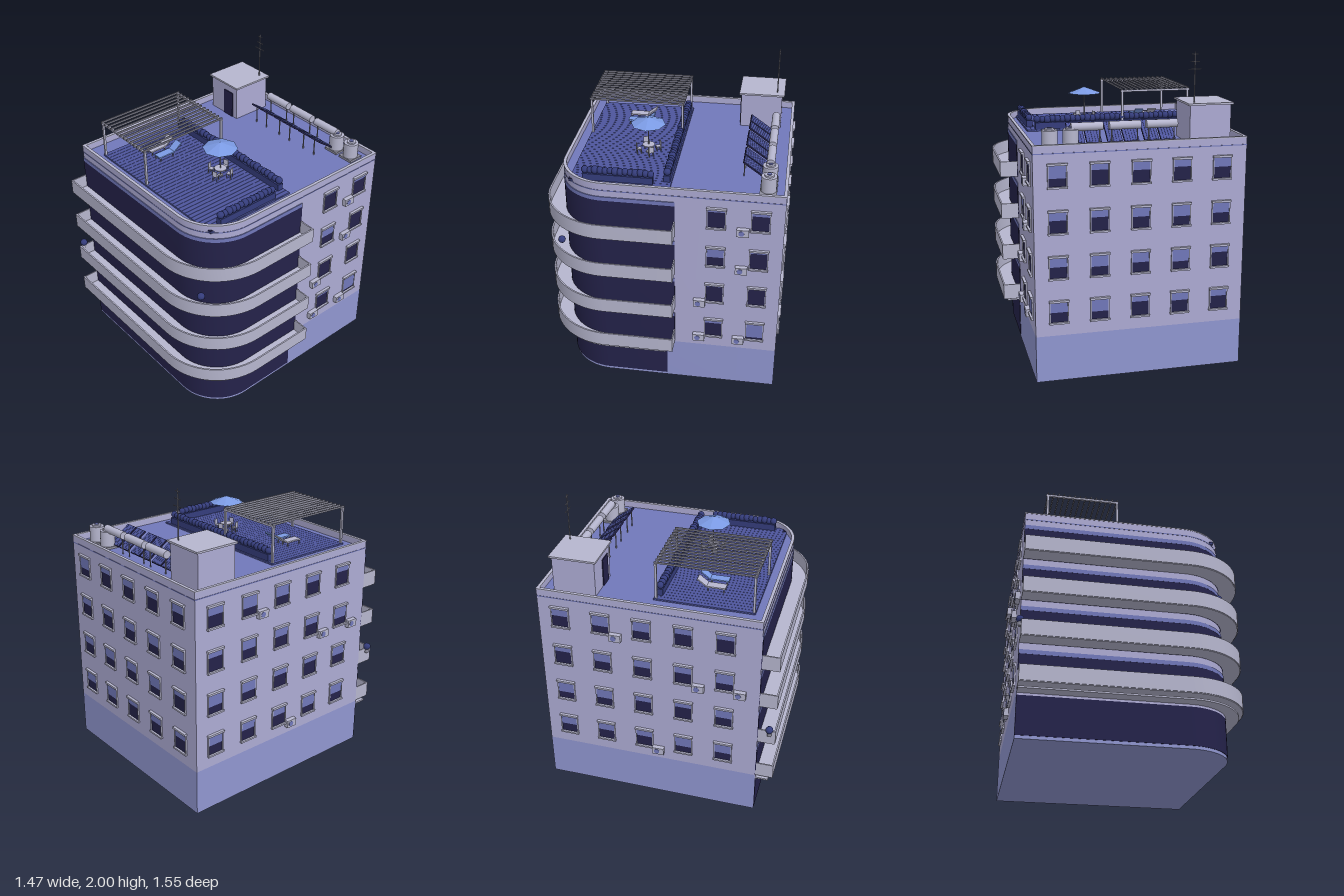
import * as THREE from 'three';
import { toCreasedNormals } from 'three/addons/utils/BufferGeometryUtils.js';

const mat = (name, color) => {
  const m = new THREE.MeshStandardMaterial({ color });
  m.name = name;
  return m;
};

// Plan of the building: three square corners and one rounded front corner
const L = -0.71, R = 0.615, B = -0.76, F = 0.66, RAD = 0.3;

function frontLine(o, zEnd) {
  const pts = [[L, F + o]];
  for (let i = 0; i <= 14; i++) {
    const a = (Math.PI / 2) * (1 - i / 14);
    pts.push([R - RAD + Math.cos(a) * (RAD + o), F - RAD + Math.sin(a) * (RAD + o)]);
  }
  pts.push([R + o, zEnd]);
  return pts;
}
const toShape = pts => new THREE.Shape(pts.map(([x, z]) => new THREE.Vector2(x, -z)));

function fullPlan(o) {
  const pts = frontLine(o, B - o);
  pts[0][0] = L - o;
  pts.push([L - o, B - o]);
  return toShape(pts);
}
function fullRing(outer, inner) {
  const s = fullPlan(outer);
  s.holes.push(fullPlan(inner));
  return s;
}
const frontBand = (outer, inner, zEnd) =>
  toShape([...frontLine(outer, zEnd), ...frontLine(inner, zEnd).reverse()]);

export function createModel() {
  const wall = mat('lavender wall', 0xadabd4), trim = mat('pale trim', 0xb6b6ce);
  const base = mat('plinth blue', 0x9096d0), glass = mat('dark glass', 0x24224a);
  const blue = mat('roof blue', 0x7178ba), decking = mat('deck blue', 0x4d559c);
  const sky = mat('light blue fabric', 0x7b9ae4), plant = mat('plant navy', 0x353d7c);
  const metal = mat('grey metal', 0x8c8c9c);

  const model = new THREE.Group();
  model.name = 'apartmentBuilding';
  const add = (name, geo, m, parent = model, x = 0, y = 0, z = 0) => {
    const mesh = new THREE.Mesh(geo, m);
    mesh.name = name;
    mesh.position.set(x, y, z);
    parent.add(mesh);
    return mesh;
  };
  const group = (name, x = 0, y = 0, z = 0, parent = model) => {
    const g = new THREE.Group();
    g.name = name;
    g.position.set(x, y, z);
    parent.add(g);
    return g;
  };
  const box = (name, m, x0, x1, y0, y1, z0, z1, parent = model) =>
    add(name, new THREE.BoxGeometry(x1 - x0, y1 - y0, z1 - z0), m, parent,
      (x0 + x1) / 2, (y0 + y1) / 2, (z0 + z1) / 2);
  const cyl = (name, m, r, y0, y1, x, z, parent = model, sides = 16) =>
    add(name, new THREE.CylinderGeometry(r, r, y1 - y0, sides), m, parent, x, (y0 + y1) / 2, z);
  const slab = (name, shape, m, y0, y1) => {
    const g = new THREE.ExtrudeGeometry(shape, { depth: y1 - y0, bevelEnabled: false });
    g.rotateX(-Math.PI / 2);
    g.translate(0, y0, 0);
    return add(name, toCreasedNormals(g, 0.5), m);
  };

  // Main body, roof surface and parapet
  slab('groundFloor', fullPlan(0), base, 0, 0.3);
  slab('upperFloors', fullPlan(0), wall, 0.3, 1.44);
  slab('roofSurface', fullPlan(-0.012), blue, 1.44, 1.445);
  slab('parapet', fullRing(0, -0.016), wall, 1.44, 1.485);
  slab('coping', fullRing(0.002, -0.018), trim, 1.485, 1.492);
  slab('roofLine', fullRing(0.002, -0.002), blue, 1.437, 1.443);

  // Shop front and canopy
  slab('shopGlass', frontBand(0.003, -0.002, -0.04), glass, 0.02, 0.26);
  slab('shopFascia', frontBand(0.003, -0.002, -0.04), wall, 0.26, 0.302);
  slab('canopy', frontBand(0.085, -0.002, -0.04), trim, 0.274, 0.285);

  // Strip windows and wraparound balconies
  const step = 0.284;
  for (let f = 0; f < 4; f++) {
    const y = 0.305 + f * step;
    slab('stripGlass', frontBand(0.004, -0.002, -0.09), glass, y, y + 0.213);
    slab('stripHeader', frontBand(0.005, -0.002, -0.09), blue, y + 0.213, y + 0.24);
    slab('balconyFloor', frontBand(0.11, -0.002, -0.09), trim, y, y + 0.014);
    slab('balconyWall', frontBand(0.115, 0.105, -0.09), trim, y + 0.004, y + 0.103);
    box('balconyEnd', trim, L, L + 0.008, y, y + 0.102, F, F + 0.112);
    box('balconyEnd', trim, R, R + 0.112, y, y + 0.102, -0.09, -0.082);
  }

  // Punched windows with part-lowered shutters, and air conditioners
  function windowUnit(face, u, f, drop) {
    const g = group('window', u, 0.385 + f * step, 0, face);
    box('pane', glass, -0.055, 0.055, 0, 0.135, -0.002, 0.003, g);
    box('shutter', blue, -0.053, 0.053, 0.135 * (1 - drop), 0.135, 0.002, 0.007, g);
    box('lintel', trim, -0.062, 0.062, 0.132, 0.145, 0, 0.018, g);
    box('sill', trim, -0.062, 0.062, -0.008, 0.003, 0, 0.016, g);
    for (const s of [-1, 1]) box('jamb', trim, s * 0.056 - 0.003, s * 0.056 + 0.003, 0, 0.135, 0, 0.009, g);
  }
  function airConditioner(face, u, f) {
    const g = group('airConditioner', u, 0.375 + f * step, 0, face);
    box('casing', trim, -0.038, 0.038, -0.025, 0.025, 0, 0.03, g);
    const fan = cyl('fan', blue, 0.018, -0.002, 0.002, -0.008, 0, g);
    fan.rotation.x = Math.PI / 2;
    fan.position.set(-0.008, 0, 0.03);
  }
  const faceAt = (name, x, z, turn) => {
    const g = group(name, x, 0, z);
    g.rotation.y = turn;
    return g;
  };
  const right = faceAt('leftSideWindows', R, 0, Math.PI / 2);
  const left = faceAt('rightSideWindows', L, 0, -Math.PI / 2);
  const back = faceAt('backWindows', 0, B, Math.PI);
  const drops = [0.5, 0.35, 0.6, 0.45, 0.3, 0.55, 0.4];
  const rightDrops = [[0.2, 0.85], [0.1, 0.08], [0.5, 0.12], [0.14, 0.2]];
  for (let f = 0; f < 4; f++) {
    [-0.345, -0.615].forEach((z, i) => windowUnit(right, -z, f, rightDrops[f][i]));
    for (let i = 0; i < 5; i++) {
      windowUnit(left, -0.615 + i * 0.264, f, drops[(i * 3 + f * 2) % 7]);
      windowUnit(back, -0.47 + i * 0.256, f, drops[(i * 2 + f * 3) % 7]);
    }
  }
  for (const [z, f] of [[-0.51, 3], [-0.51, 2], [-0.25, 1], [-0.25, 0], [-0.51, 0]]) airConditioner(right, -z, f);
  for (const [z, f] of [[-0.255, 3], [0.275, 2], [0.54, 2], [0.01, 0]]) airConditioner(left, z, f);

  // Roof terrace planks
  const planks = 36, pw = 1.115 / planks;
  box('deckBase', decking, -0.575, 0.54, 1.445, 1.45, -0.05, 0.585);
  for (let i = 0; i < planks; i++) {
    const x = -0.575 + i * pw;
    box('deckPlank', decking, x + 0.001, x + pw - 0.001, 1.45, 1.456, -0.05, 0.585);
  }

  // Hedges in planters, and balcony plants
  const leafGeo = new THREE.IcosahedronGeometry(0.025, 1);
  const bush = (x, y, z, s = 1) => {
    const b = add('bush', leafGeo, plant, model, x, y, z);
    b.scale.setScalar(s);
    b.rotation.set(x * 40, z * 30, x * 17);
  };
  box('backPlanter', plant, -0.53, 0.485, 1.455, 1.5, -0.042, -0.002);
  box('sidePlanter', plant, 0.49, 0.53, 1.455, 1.5, 0.06, 0.5);
  for (let i = 0; i < 30; i++) bush(-0.51 + i * 0.0338, 1.518 + (i % 3) * 0.002, -0.022, 0.9 + (i % 4) * 0.05);
  for (let i = 0; i < 14; i++) bush(0.51, 1.518 + (i % 3) * 0.002, 0.075 + i * 0.0315, 0.9 + (i % 4) * 0.05);
  bush(-0.715, 0.705, 0.735);
  bush(0.53, 0.995, 0.66);
  cyl('plantPot', metal, 0.014, 0.66, 0.69, -0.715, 0.735);
  box('roofDrain', glass, 0.495, 0.535, 1.452, 1.46, 0.555, 0.585);

  // Pergola
  const pergola = group('pergola');
  for (const z of [-0.035, 0.575]) {
    for (const x of [-0.562, -0.105]) box('post', trim, x - 0.007, x + 0.007, 1.45, 1.69, z - 0.007, z + 0.007, pergola);
    box('beam', trim, -0.575, -0.095, 1.685, 1.698, z - 0.007, z + 0.007, pergola);
  }
  for (let i = 0; i < 14; i++) {
    const x = -0.562 + i * 0.0352;
    box('slat', metal, x - 0.004, x + 0.004, 1.697, 1.708, -0.045, 0.588, pergola);
  }

  // Parasol, table and chairs
  const set = group('parasolSet', 0.115, 1.456, 0.155);
  add('canopyCone', new THREE.ConeGeometry(0.113, 0.042, 8).toNonIndexed(), sky, set, 0, 0.226, 0)
    .geometry.computeVertexNormals();
  cyl('pole', metal, 0.004, 0, 0.24, 0, 0, set, 8);
  cyl('tableTop', trim, 0.04, 0.05, 0.056, 0, 0, set);
  cyl('tableFoot', metal, 0.018, 0, 0.006, 0, 0, set);
  for (let i = 0; i < 4; i++) {
    const c = group('chair', 0, 0, 0, set);
    c.rotation.y = i * Math.PI / 2 + 0.4;
    box('seat', trim, -0.016, 0.016, 0.03, 0.035, 0.05, 0.08, c);
    box('chairBack', trim, -0.016, 0.016, 0.035, 0.072, 0.077, 0.081, c);
    for (const x of [-0.014, 0.014]) for (const z of [0.052, 0.078])
      box('chairLeg', metal, x - 0.002, x + 0.002, 0, 0.03, z - 0.002, z + 0.002, c);
  }

  // Sun loungers
  for (const [x, m] of [[-0.375, trim], [-0.283, sky]]) {
    const g = group('lounger', x, 1.456, 0.24);
    box('cushion', m, -0.029, 0.029, 0.025, 0.034, 0, 0.12, g);
    const rest = box('backrest', m, -0.029, 0.029, -0.004, 0.004, -0.075, 0, group('recliner', 0, 0.03, 0, g));
    rest.parent.rotation.x = 0.65;
    for (const lx of [-0.025, 0.025]) for (const z of [0.01, 0.11])
      box('loungerLeg', metal, lx - 0.003, lx + 0.003, 0, 0.025, z - 0.003, z + 0.003, g);
  }

  // Stair house and aerial
  box('stairHouse', wall, -0.632, -0.37, 1.445, 1.68, -0.675, -0.4);
  box('stairRoof', trim, -0.645, -0.355, 1.68, 1.692, -0.69, -0.387);
  box('stairDoor', glass, -0.5, -0.41, 1.446, 1.63, -0.4, -0.394);
  cyl('aerialMast', metal, 0.004, 1.69, 2, -0.405, -0.64, model, 8);
  for (const [y, w] of [[1.985, 0.02], [1.94, 0.03], [1.895, 0.042]])
    box('aerialBar', metal, -0.405 - w, -0.405 + w, y - 0.002, y + 0.002, -0.642, -0.638);

  // Solar water heaters: a tank and two tilted panels each
  for (const x of [-0.198, 0.033, 0.267]) {
    const g = group('solarHeater', x, 0, 0);
    const tank = cyl('heaterTank', trim, 0.026, -0.098, 0.098, 0, 0, g, 20);
    tank.rotation.z = Math.PI / 2;
    tank.position.set(0, 1.572, -0.645);
    for (const s of [-1, 1]) {
      const p = group('solarPanel', s * 0.052, 1.515, -0.55, g);
      p.rotation.x = -0.62;
      box('panelFrame', glass, -0.047, 0.047, -0.005, 0.005, -0.088, 0.088, p);
      for (let i = 0; i < 5; i++)
        box('panelStrip', decking, -0.044 + i * 0.018, -0.028 + i * 0.018, 0.004, 0.007, -0.085, 0.085, p);
      box('panelLeg', metal, s * 0.05 - 0.003, s * 0.05 + 0.003, 1.445, 1.56, -0.486, -0.48, g);
      box('tankLeg', metal, s * 0.08 - 0.003, s * 0.08 + 0.003, 1.445, 1.56, -0.648, -0.642, g);
    }
  }

  // Water tanks
  for (const x of [0.365, 0.493]) {
    const g = group('waterTank', x, 0, -0.645);
    box('tankStand', metal, -0.052, 0.052, 1.445, 1.46, -0.052, 0.052, g);
    cyl('tankBody', trim, 0.048, 1.46, 1.56, 0, 0, g, 20);
    cyl('tankLid', trim, 0.03, 1.56, 1.57, 0, 0, g, 20);
    cyl('tankCap', blue, 0.014, 1.57, 1.576, 0, 0, g, 12);
  }
  return model;
}
